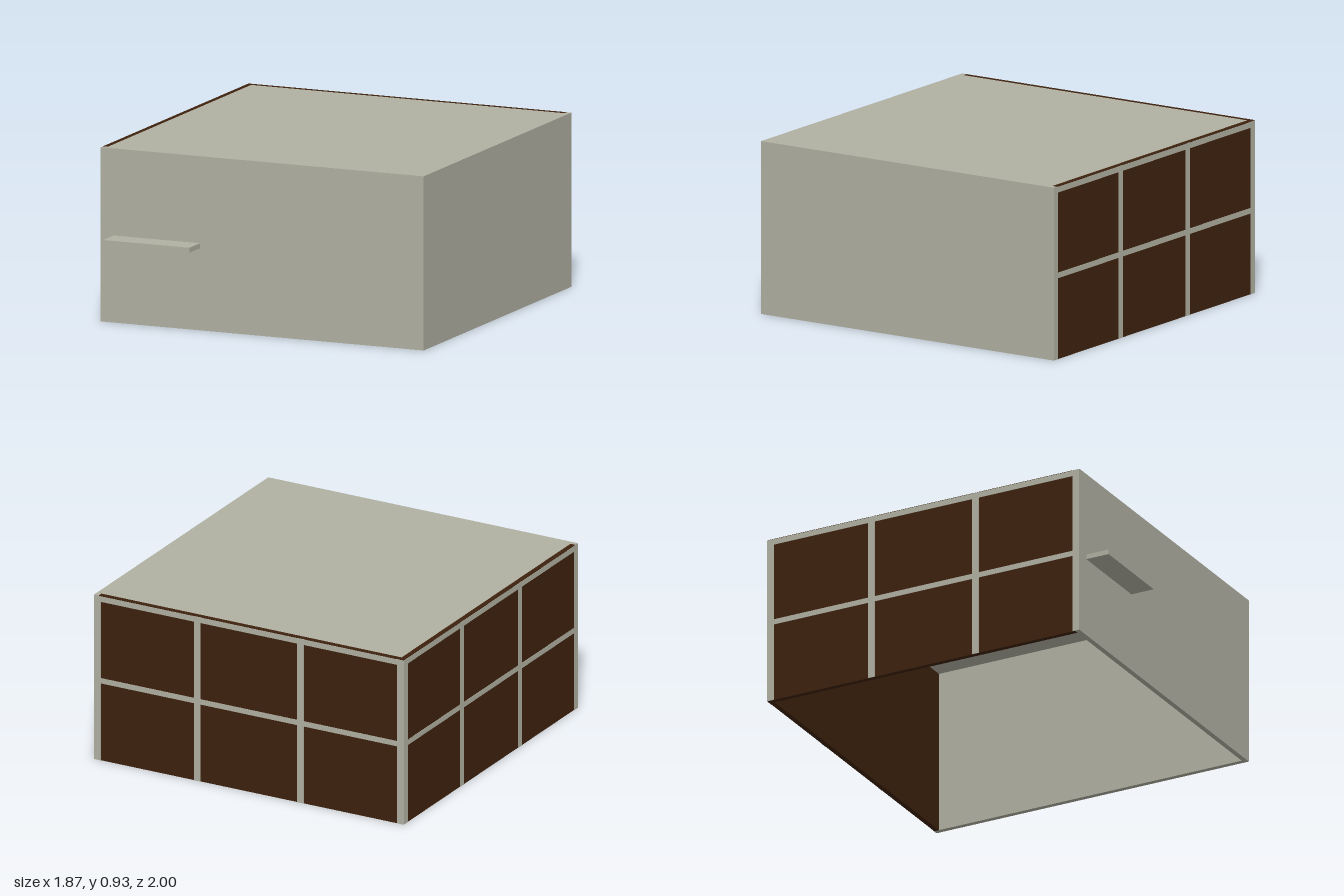
import * as THREE from 'three';

const W = 0.933;          // half width
const H = 0.934;          // height
const BACK = -1, FRONT = 0.867;
const T = 0.028;          // wall thickness
const BAR = 0.04;         // upright width
const P = 0.002;          // trim plate thickness

export function createModel() {
  const stone = new THREE.MeshStandardMaterial({ color: 0xb0b0a2 });
  stone.name = 'warm grey';
  const pane = new THREE.MeshStandardMaterial({ color: 0x3d210d });
  pane.name = 'dark brown';

  const model = new THREE.Group();
  model.name = 'room';

  // Box given by its minimum and maximum corners
  function box(name, material, x0, x1, y0, y1, z0, z1, parent = model) {
    const mesh = new THREE.Mesh(new THREE.BoxGeometry(x1 - x0, y1 - y0, z1 - z0), material);
    mesh.position.set((x0 + x1) / 2, (y0 + y1) / 2, (z0 + z1) / 2);
    mesh.name = name;
    parent.add(mesh);
  }

  // Shell, open underneath
  box('frontWall', stone, -W, W, 0, H, FRONT - T, FRONT);
  box('leftWall', stone, W - T, W, 0, H, BACK, FRONT - T);
  box('roof', stone, -W + T, W - T, H - T, H, BACK + T, FRONT - T);
  box('backPane', pane, -W, W - T, 0, H, BACK, BACK + T);
  box('rightPane', pane, -W, -W + T, 0, H, BACK + T, FRONT - T);

  // Ledge on the front
  box('ledge', stone, -0.858, -0.36, 0.44, 0.467, FRONT, 1);

  // Window bars in a flat 3 by 2 grid, facing +z before placement
  function windowBars(name) {
    const bars = new THREE.Group();
    bars.name = name;
    for (let i = 0; i < 4; i++) {
      const c = THREE.MathUtils.clamp(-W + (i * 2 * W) / 3, -W + BAR / 2, W - BAR / 2);
      box('upright', stone, c - BAR / 2, c + BAR / 2, 0, H - 0.002, 0, P, bars);
    }
    box('middleRail', stone, -W, W, 0.437, 0.467, 0, P * 0.9, bars);
    box('topRail', stone, -W, W, H - 0.034, H - 0.003, 0, P * 0.9, bars);
    model.add(bars);
    return bars;
  }

  const backBars = windowBars('backWindowBars');
  backBars.rotation.y = Math.PI;
  backBars.position.z = BACK;

  const sideBars = windowBars('rightWindowBars');
  sideBars.rotation.y = -Math.PI / 2;
  sideBars.position.set(-W, 0, (BACK + FRONT) / 2);

  return model;
}
